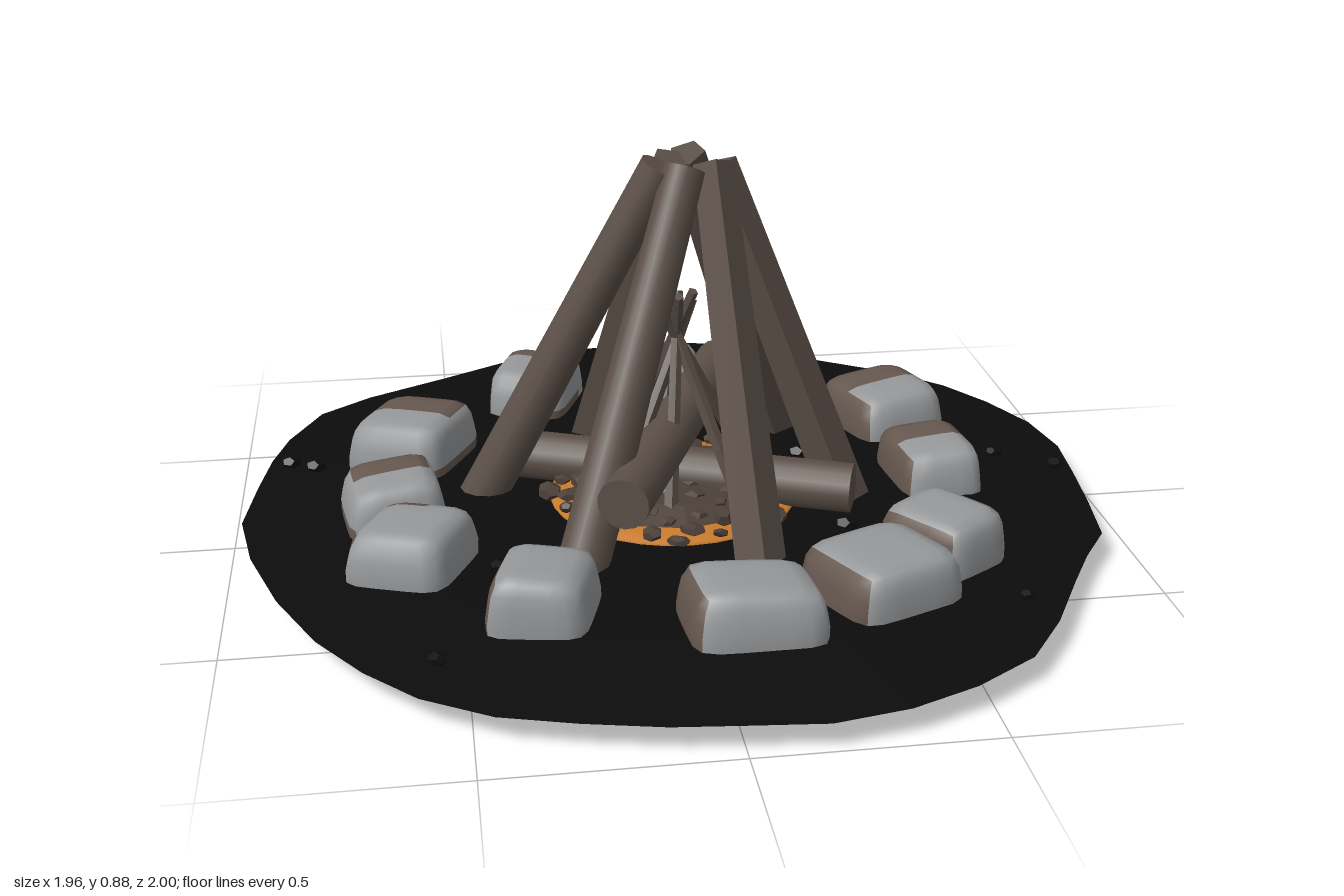
import * as THREE from 'three';
import { mergeVertices } from 'three/addons/utils/BufferGeometryUtils.js';

const mat = (name, color, extra = {}) => {
  const m = new THREE.MeshStandardMaterial({ color, ...extra });
  m.name = name;
  return m;
};

// Small seeded generator for natural variation
function seeded(seed) {
  return () => {
    seed = (seed * 16807) % 2147483647;
    return seed / 2147483647;
  };
}

export function createModel() {
  const rand = seeded(4217);
  const range = (a, b) => a + (b - a) * rand();
  const model = new THREE.Group();
  model.name = 'campfire';

  const scorched = mat('scorched ground', 0x0c0c0c, { flatShading: true });
  const stone = mat('grey stone', 0x96989a);
  const sooty = mat('sooty stone', 0x66584f);
  const bark = mat('bark', 0x5c5048);
  const split = mat('split wood', 0x5a4e46, { flatShading: true });
  const char = mat('charred chips', 0x4c4038, { flatShading: true });
  const ember = mat('ember', 0xc87a2a);

  const add = (name, geometry, material, parent = model) => {
    const mesh = new THREE.Mesh(geometry, material);
    mesh.name = name;
    parent.add(mesh);
    return mesh;
  };
  const group = (name) => {
    const g = new THREE.Group();
    g.name = name;
    model.add(g);
    return g;
  };

  // Ground: irregular outline closed as a shallow lens
  const outline = [
    [0, -1], [.16, -1], [.30, -.96], [.50, -.82], [.70, -.69], [.81, -.58], [.89, -.455], [.955, -.31],
    [.98, -.155], [.965, 0], [.945, .16], [.92, .32], [.85, .42], [.785, .53], [.695, .69], [.60, .82],
    [.46, .91], [.315, .97], [.155, 1], [0, .985], [-.145, .97], [-.305, .935], [-.46, .89], [-.60, .805],
    [-.705, .695], [-.80, .56], [-.885, .38], [-.95, .18], [-.98, 0], [-.955, -.185], [-.93, -.335],
    [-.895, -.46], [-.82, -.615], [-.70, -.71], [-.50, -.82], [-.31, -.93], [-.15, -.98],
  ];
  const rings = [[0, .086], [.7, .08], [1, .066], [.7, .067], [0, .068]];
  const n = outline.length;
  const pos = [], idx = [];
  for (const [s, y] of rings) for (const [x, z] of outline) pos.push(x * s, y, z * s);
  for (let r = 0; r < rings.length - 1; r++) {
    for (let i = 0; i < n; i++) {
      const a = r * n + i, b = r * n + (i + 1) % n;
      if (r > 0) idx.push(a, a + n, b);
      if (r < rings.length - 2) idx.push(b, a + n, b + n);
    }
  }
  const groundGeo = new THREE.BufferGeometry();
  groundGeo.setAttribute('position', new THREE.Float32BufferAttribute(pos, 3));
  groundGeo.setIndex(idx);
  groundGeo.computeVertexNormals();
  scorched.side = THREE.DoubleSide;
  add('scorchedGround', groundGeo, scorched);

  // Stone: softened box, skewed by a taper, with soot low on the inner side
  function stoneGeometry(w, h, d, yaw, x, y, z) {
    let g = new THREE.BoxGeometry(2, 2, 2, 6, 6, 6);
    g.deleteAttribute('uv');
    g.deleteAttribute('normal');
    g = mergeVertices(g);
    const p = g.attributes.position, v = new THREE.Vector3();
    const tx = range(.06, .16), tz = range(.06, .16), sx = range(-.1, .1), slope = range(-.12, .12);
    for (let i = 0; i < p.count; i++) {
      v.fromBufferAttribute(p, i);
      const k = 6;
      v.divideScalar((Math.abs(v.x) ** k + Math.abs(v.y) ** k + Math.abs(v.z) ** k) ** (1 / k));
      const up = Math.max(v.y, 0);
      v.set(v.x * (1 - tx * up) + sx * v.z, v.y + slope * v.x * up, v.z * (1 - tz * up));
      p.setXYZ(i, v.x * w / 2, v.y * h / 2, v.z * d / 2);
    }
    g.rotateY(yaw);
    g.translate(x, y, z);
    g.computeVertexNormals();
    // Sort faces into clean and sooty groups
    const inward = new THREE.Vector3(-x, 0, -z).normalize();
    const clean = [], soot = [], t = new THREE.Triangle(), c = new THREE.Vector3();
    for (let i = 0; i < g.index.count; i += 3) {
      const f = [0, 1, 2].map((j) => g.index.getX(i + j));
      t.setFromAttributeAndIndices(p, ...f);
      t.getNormal(v);
      t.getMidpoint(c);
      (v.dot(inward) > .7 && c.y < .1 ? soot : clean).push(...f);
    }
    g.setIndex([...clean, ...soot]);
    g.addGroup(0, clean.length, 0);
    g.addGroup(clean.length, soot.length, 1);
    return g;
  }

  // Ring of stones: x, z, width, depth, yaw
  const ring = group('stoneRing');
  [
    [-.27, -.60, .20, .25, -.35], [.02, -.625, .28, .22, -.15], [.26, -.595, .24, .22, -.4],
    [.58, -.355, .24, .26, .35], [.61, -.01, .19, .25, .05], [.53, .39, .20, .22, .6],
    [.36, .535, .27, .24, .4], [.07, .635, .28, .22, 0], [-.34, .53, .21, .22, -.2],
    [-.60, .275, .23, .24, -.4], [-.64, .035, .22, .23, .15], [-.59, -.30, .25, .27, -.5],
  ].forEach(([x, z, w, d, yaw], i) => {
    const h = .165 + .01 * (i % 3);
    const y = i === 4 ? .0925 : .102;
    add('stone', stoneGeometry(w, h, d, yaw, x, y, z), [stone, sooty], ring);
  });

  // Log between two points, thinner at its end
  function log(name, a, b, r0, r1, sides, material, parent) {
    const from = new THREE.Vector3(...a), to = new THREE.Vector3(...b);
    const dir = to.clone().sub(from);
    const g = new THREE.CylinderGeometry(r1, r0, dir.length(), sides, 1);
    g.applyQuaternion(new THREE.Quaternion().setFromUnitVectors(new THREE.Vector3(0, 1, 0), dir.normalize()));
    g.translate(...from.add(to).multiplyScalar(.5).toArray());
    return add(name, g, material, parent);
  }

  // Lying logs
  const lying = group('lyingLogs');
  log('upperLog', [-.16, .24, .385], [.17, .245, -.395], .057, .055, 14, bark, lying);
  log('lowerLog', [-.40, .135, -.17], [.39, .13, .145], .057, .057, 14, bark, lying);

  // Leaning logs meeting at the top
  const leaning = group('leaningLogs');
  [
    [[-.44, .05, -.09], [-.03, .865, .02], .056, .046, 12],
    [[-.16, .05, -.40], [.0, .86, -.05], .05, .042, 5],
    [[.31, .05, -.36], [.04, .865, -.08], .056, .045, 5],
    [[.14, .05, .38], [.09, .86, -.01], .056, .045, 4],
    [[-.25, .05, .34], [.02, .865, .04], .058, .046, 12],
    [[.40, .05, .07], [.10, .855, -.02], .056, .045, 4],
  ].forEach(([a, b, r0, r1, s]) => log('leaningLog', a, b, r0, r1, s, s > 6 ? bark : split, leaning));

  // Kindling inside
  const kindling = group('kindling');
  [[-.15, .12], [.14, .13], [.20, -.08], [.02, -.20], [-.12, -.14], [-.03, .17]].forEach(([x, z]) =>
    log('stick', [x, .09, z], [.01 - x * .25, range(.54, .6), -z * .25], .017, .012, 5, split, kindling));

  // Ember bed with a crust of charred chips
  const emberGeo = new THREE.SphereGeometry(.29, 32, 12);
  emberGeo.scale(1, .12, 1);
  add('emberBed', emberGeo, ember).position.y = .079;
  const crust = new THREE.CylinderGeometry(.17, .235, .025, 13);
  add('ashCrust', crust, char).position.y = .113;
  const chips = group('charredChips');
  for (let i = 0; i < 75; i++) {
    const a = i * 2.4, r = .29 * Math.sqrt((i + .5) / 75);
    const chip = add('chip', new THREE.DodecahedronGeometry(range(.018, .036)), char, chips);
    chip.scale.set(1, range(.4, .7), range(.6, 1));
    chip.rotation.set(range(-.4, .4), range(0, 6), range(-.4, .4));
    chip.position.set(r * Math.cos(a), .13 - r * .11, r * Math.sin(a));
  }

  // Scattered dark pebbles
  const pebbles = group('pebbles');
  [
    [-.88, -.28], [-.82, -.25], [-.61, -.16], [-.34, -.33], [.92, -.01], [.33, -.02], [.36, .23],
    [.65, .61], [-.56, .70], [.80, -.10], [.72, -.13], [.24, -.42], [-.42, .33], [.33, -.17],
  ].forEach(([x, z]) => {
    const p = add('pebble', new THREE.DodecahedronGeometry(range(.018, .028)), scorched, pebbles);
    p.scale.y = .6;
    p.rotation.y = range(0, 6);
    p.position.set(x, .088, z);
  });

  return model;
}
